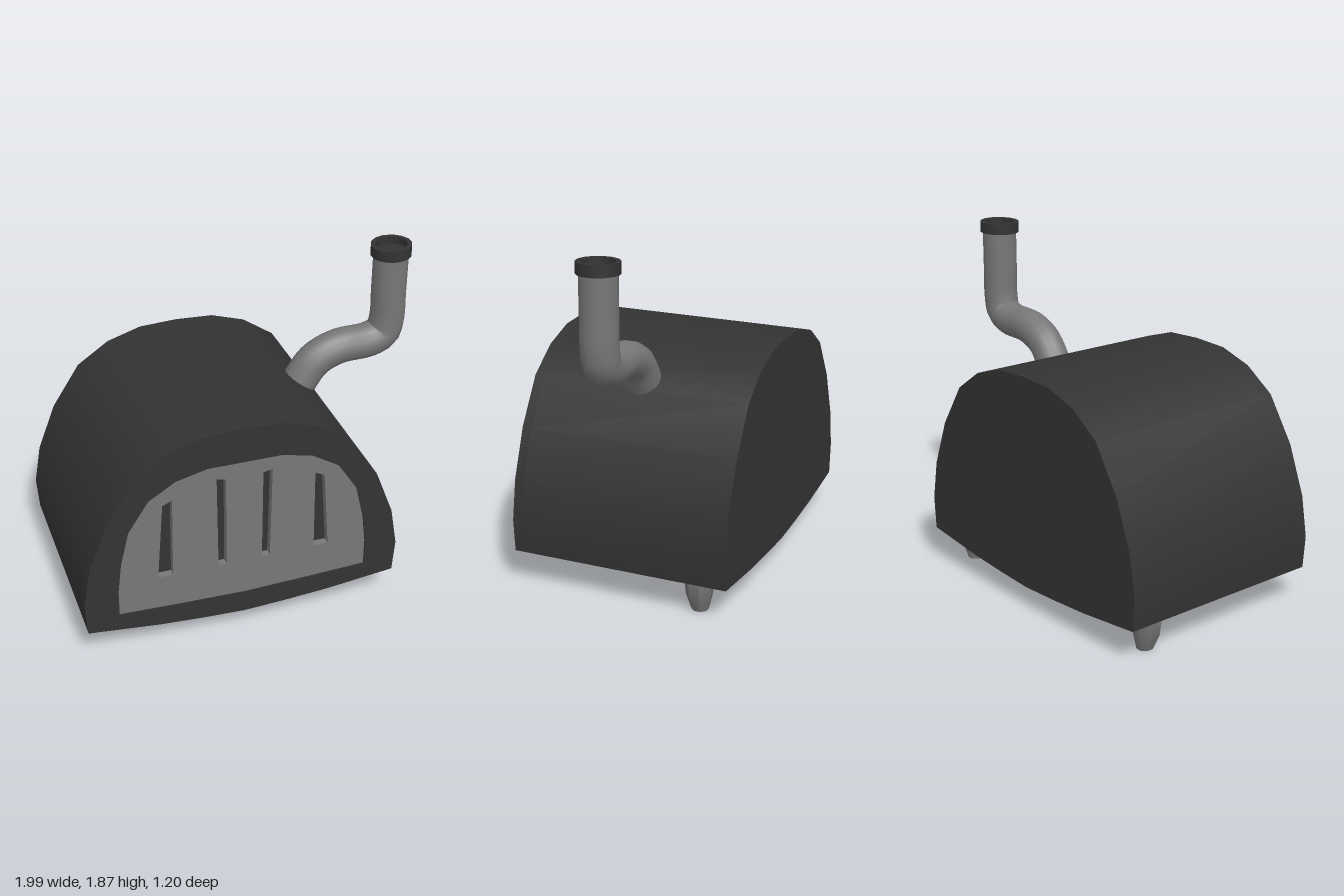
import * as THREE from 'three';
import { toCreasedNormals } from 'three/addons/utils/BufferGeometryUtils.js';

const CX = -0.13; // symmetry plane of the oven body

const material = (color) => new THREE.MeshStandardMaterial({ color, side: THREE.DoubleSide });

// Closed outline from a right half (bottom centre to top centre), mirrored about CX
function mirroredOutline(half) {
  const right = half.map(([x, y]) => new THREE.Vector2(CX + x, y));
  const left = half.slice().reverse().filter(([x]) => x > 0)
    .map(([x, y]) => new THREE.Vector2(CX - x, y));
  return [...right, ...left];
}

function extrude(shape, z0, z1) {
  const geo = new THREE.ExtrudeGeometry(shape, { depth: z1 - z0, bevelEnabled: false });
  geo.translate(0, 0, z0);
  return toCreasedNormals(geo, 0.65);
}

// Foot lofted through octagonal rings: [y, xMin, xMax, halfDepth]
function footGeometry(rings, z, mirror) {
  const n = 8, pos = [], idx = [];
  for (const [y, x0, x1, d] of rings) {
    for (let i = 0; i < n; i++) {
      const a = ((i + 0.5) / n) * Math.PI * 2, k = 1 / Math.cos(Math.PI / n);
      const x = (x0 + x1) / 2 + Math.cos(a) * k * (x1 - x0) / 2;
      pos.push(mirror ? 2 * CX - x : x, y, z + Math.sin(a) * k * d);
    }
  }
  const face = (a, b, c) => (mirror ? idx.push(a, c, b) : idx.push(a, b, c));
  for (let r = 0; r < rings.length - 1; r++) {
    for (let i = 0; i < n; i++) {
      const a = r * n + i, b = r * n + (i + 1) % n;
      face(a, b, a + n);
      face(b, b + n, a + n);
    }
  }
  // flat sole
  const last = (rings.length - 1) * n;
  for (let i = 1; i < n - 1; i++) face(last, last + i, last + i + 1);
  const geo = new THREE.BufferGeometry();
  geo.setAttribute('position', new THREE.Float32BufferAttribute(pos, 3));
  geo.setIndex(idx);
  return toCreasedNormals(geo, 0.8);
}

export function createModel() {
  const model = new THREE.Group();
  model.name = 'stove';
  const dark = material(0x333333), grey = material(0x777777);
  const add = (name, geo, mat) => {
    const mesh = new THREE.Mesh(geo, mat);
    mesh.name = name;
    model.add(mesh);
    return mesh;
  };

  // Domed body with a shallow recess in the front
  const outer = mirroredOutline([
    [0, 0.12], [0.22, 0.13], [0.47, 0.147], [0.855, 0.19], [0.868, 0.37], [0.83, 0.59],
    [0.73, 0.85], [0.575, 1.09], [0.4, 1.21], [0.21, 1.27], [0, 1.28],
  ]);
  const door = mirroredOutline([
    [0, 0.245], [0.35, 0.255], [0.685, 0.268], [0.685, 0.42], [0.665, 0.59],
    [0.62, 0.78], [0.51, 0.95], [0.365, 1.04], [0.2, 1.08], [0, 1.08],
  ]);
  add('body', extrude(new THREE.Shape(outer), -0.6, 0.55), dark);
  const frame = new THREE.Shape(outer);
  frame.holes.push(new THREE.Path(door));
  add('frontFrame', extrude(frame, 0.55, 0.6), dark);

  // Door plate with four slots
  const plate = new THREE.Shape(door);
  const slots = [
    [[-0.6, 0.455], [-0.52, 0.455], [-0.515, 0.925], [-0.567, 0.9]],
    [[-0.272, 0.455], [-0.228, 0.455], [-0.23, 0.99], [-0.28, 1.0]],
  ];
  for (const slot of slots) {
    for (const mirror of [false, true]) {
      plate.holes.push(new THREE.Path(slot.map(([x, y]) =>
        new THREE.Vector2(mirror ? 2 * CX - x : x, y))));
    }
  }
  add('doorPlate', extrude(plate, 0.551, 0.592), grey);

  // Feet: wide pair in front, narrow pair at the back
  const frontRings = [
    [0.2, -0.745, -0.43, 0.07], [0.14, -0.735, -0.435, 0.07],
    [0.08, -0.7, -0.44, 0.063], [0.012, -0.65, -0.452, 0.043],
  ];
  const backRings = [
    [0.24, -0.955, -0.805, 0.07], [0.17, -0.955, -0.805, 0.07],
    [0.09, -0.945, -0.807, 0.064], [0.0, -0.905, -0.825, 0.042],
  ];
  for (const mirror of [false, true]) {
    const side = mirror ? 'Left' : 'Right';
    add('front' + side + 'Foot', footGeometry(frontRings, 0.283, mirror), grey);
    add('back' + side + 'Foot', footGeometry(backRings, -0.413, mirror), grey);
  }

  // Bent chimney pipe
  const path = new THREE.CatmullRomCurve3([
    [0.3, 0.98], [0.385, 1.12], [0.47, 1.235], [0.6, 1.295], [0.78, 1.308],
    [0.86, 1.345], [0.883, 1.43], [0.884, 1.6], [0.885, 1.82],
  ].map(([x, y]) => new THREE.Vector3(x, y, 0)), false, 'centripetal');
  add('chimneyPipe', new THREE.TubeGeometry(path, 36, 0.096, 14, false), grey);

  // Collar on the chimney with a sunken top
  const collar = new THREE.LatheGeometry([
    [0.09, 0], [0.11, 0], [0.11, 0.06], [0.085, 0.06], [0.085, 0.02], [0, 0.02],
  ].map(([x, y]) => new THREE.Vector2(x, y)), 14);
  const cap = add('chimneyCollar', toCreasedNormals(collar, 0.6), dark);
  cap.position.set(0.885, 1.802, 0);
  cap.rotation.z = 0.03;

  return model;
}
